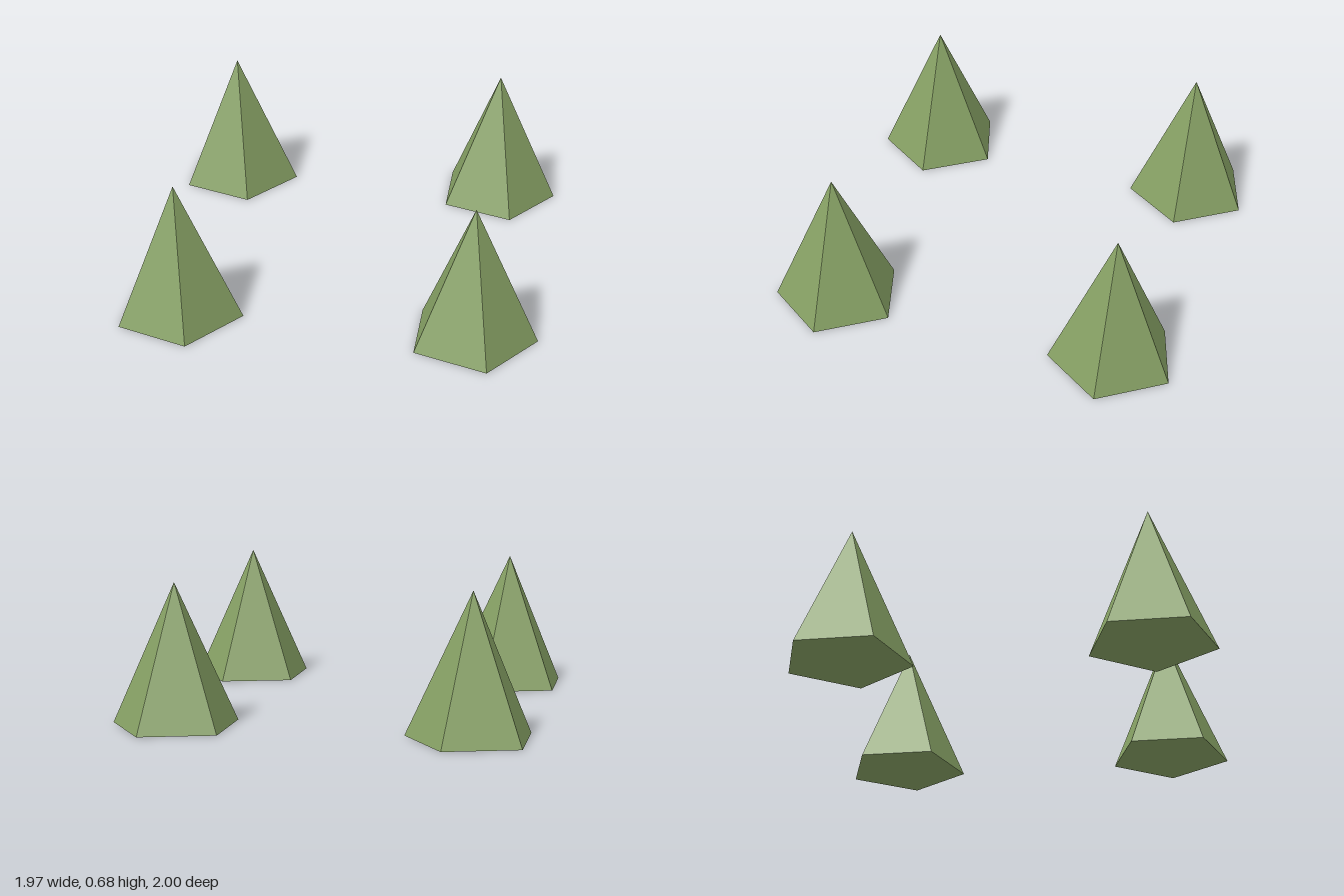
import * as THREE from 'three';

export function createModel() {
  const group = new THREE.Group();
  const radius = 0.312, height = 0.68, spacing = 0.703;
  const material = new THREE.MeshStandardMaterial({ color: 0x86a064, flatShading: true });

  // Five-sided pyramid with one corner towards +x, standing on y = 0
  const geometry = new THREE.ConeGeometry(radius, height, 5, 1, false, Math.PI / 2);
  // Shift so that the bounds of the pentagon are centred on x
  const shift = -radius * (1 - Math.cos(Math.PI / 5)) / 2;
  geometry.translate(shift, height / 2, 0);

  // One tree at each corner of a square
  for (const [sx, side] of [[1, 'Left'], [-1, 'Right']]) {
    for (const [sz, end] of [[1, 'front'], [-1, 'back']]) {
      const tree = new THREE.Mesh(geometry, material);
      tree.name = `${end}${side}Tree`;
      tree.position.set(sx * spacing, 0, sz * spacing);
      group.add(tree);
    }
  }
  return group;
}
